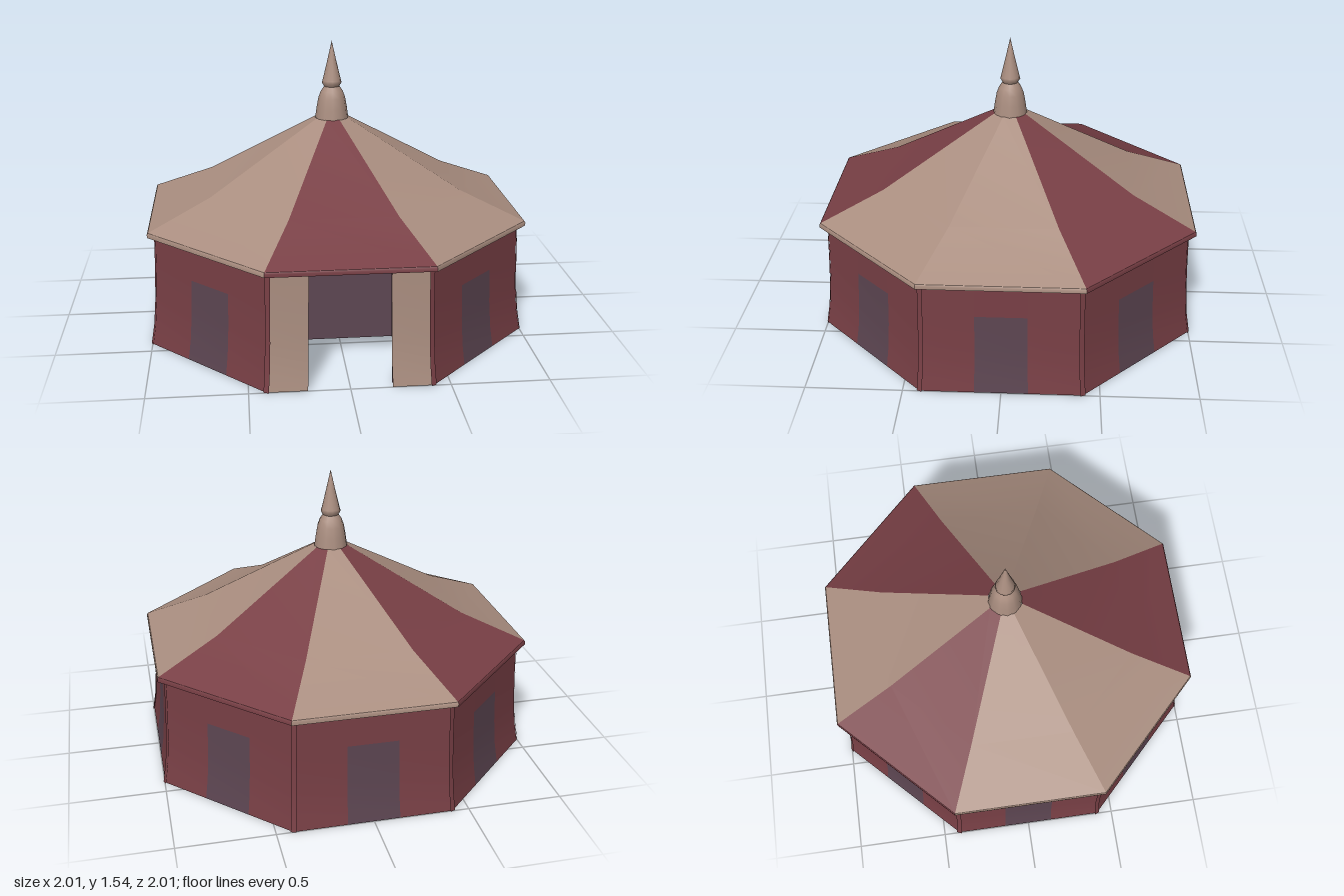
import * as THREE from 'three';

const mat = (name, color) => {
  const m = new THREE.MeshStandardMaterial({ color, side: THREE.DoubleSide });
  m.name = name;
  return m;
};

// Grid of quads through rows of points; rows run top to bottom, points left to right
function gridGeometry(rows) {
  const n = rows[0].length;
  const index = [];
  for (let r = 0; r < rows.length - 1; r++) {
    for (let c = 0; c < n - 1; c++) {
      const a = r * n + c, b = a + n;
      index.push(a, b, b + 1, a, b + 1, a + 1);
    }
  }
  const g = new THREE.BufferGeometry();
  g.setAttribute('position', new THREE.Float32BufferAttribute(rows.flat(2), 3));
  g.setIndex(index);
  g.computeVertexNormals();
  return g;
}

// Panel facing +z: profile of [distance, height], edges as fractions of the distance
const panel = (profile, left, right) =>
  gridGeometry(profile.map(([d, y]) => [[left * d, y, d], [right * d, y, d]]));

export function createModel() {
  const beige = mat('beige canvas', 0xaa8e80);
  const red = mat('dark red canvas', 0x783f45);
  const purple = mat('dull purple cloth', 0x5c4551);

  const model = new THREE.Group();
  model.name = 'tent';
  const add = (parent, name, geometry, material) => {
    const mesh = new THREE.Mesh(geometry, material);
    mesh.name = name;
    parent.add(mesh);
    return mesh;
  };

  const EDGE = Math.tan(Math.PI / 8); // half width of an octagon side
  const WIN = 0.137;
  const upperWall = [[0.957, 0.615], [0.961, 0.43]];
  const lowerWall = [[0.961, 0.43], [0.968, 0.25], [0.98, 0.11], [0.998, 0]];
  const wall = [upperWall[0], ...lowerWall];
  const slope = [[0.085, 1.125], [0.67, 0.77], [0.995, 0.63]];
  const hem = [[0.995, 0.63], [1, 0.622], [1, 0.605]];
  const soffit = [[1, 0.605], [0.95, 0.605]];

  // Eight sides; side 0 is the front, turning toward +x
  const redRoof = [0, 3, 5];
  for (let i = 0; i < 8; i++) {
    const side = new THREE.Group();
    side.name = i === 0 ? 'frontSide' : 'side' + i;
    side.rotation.y = i * Math.PI / 4;
    model.add(side);

    const roofMat = redRoof.includes(i) ? red : beige;
    add(side, 'roofPanel', panel(slope, -EDGE, EDGE), roofMat);
    add(side, 'roofHem', panel(hem, -EDGE, EDGE), roofMat);
    add(side, 'roofSoffit', panel(soffit, -EDGE, EDGE), roofMat);

    if (i === 0) {
      // Open entrance between two drapes
      add(side, 'entranceDrapeRight', panel(wall, -EDGE, -0.21), beige);
      add(side, 'entranceDrapeLeft', panel(wall, 0.21, EDGE), beige);
    } else {
      add(side, 'wallRight', panel(wall, -EDGE, -WIN), red);
      add(side, 'wallLeft', panel(wall, WIN, EDGE), red);
      add(side, 'wallAboveFlap', panel(upperWall, -WIN, WIN), red);
      add(side, 'doorFlap', panel(lowerWall, -WIN, WIN), purple);
    }

    // Narrow seam covering the corner
    const corner = wall.map(([d, y]) => [d / Math.cos(Math.PI / 8) + 0.003, y]);
    const seam = add(side, 'cornerSeam', panel(corner, -0.013, 0.013), red);
    seam.rotation.y = Math.PI / 8;
  }

  // Cloth vestibule behind the entrance
  const half = [[0.21, 0.97], [0.39, 0.86], [0.39, 0.44]];
  const path = [...half.map(([x, z]) => [-x, z]), ...half.slice().reverse()];
  for (let i = 0; i < path.length - 1; i++) {
    const ends = [path[i], path[i + 1]];
    const rows = [[0.61, 0.94], [0, 1]].map(([y, s]) => ends.map(([x, z]) => [x * s, y, z * (z > 0.9 ? 0.985 : s)]));
    add(model, 'vestibuleCloth' + i, gridGeometry(rows), purple);
  }

  // Turned finial: bell, collar and spike
  const finial = new THREE.Group();
  finial.name = 'finial';
  model.add(finial);
  const lathe = (name, points) =>
    add(finial, name, new THREE.LatheGeometry(points.map(([r, y]) => new THREE.Vector2(r, y)), 12), beige);
  lathe('finialBase', [[0, 1.115], [0.092, 1.115]]);
  lathe('finialBell', [[0.092, 1.115], [0.083, 1.18], [0.073, 1.235], [0.06, 1.27], [0.042, 1.297]]);
  lathe('finialCollar', [[0.042, 1.297], [0.054, 1.317], [0.05, 1.33]]);
  lathe('finialSpike', [[0.05, 1.33], [0.026, 1.43], [0, 1.545]]);

  return model;
}
